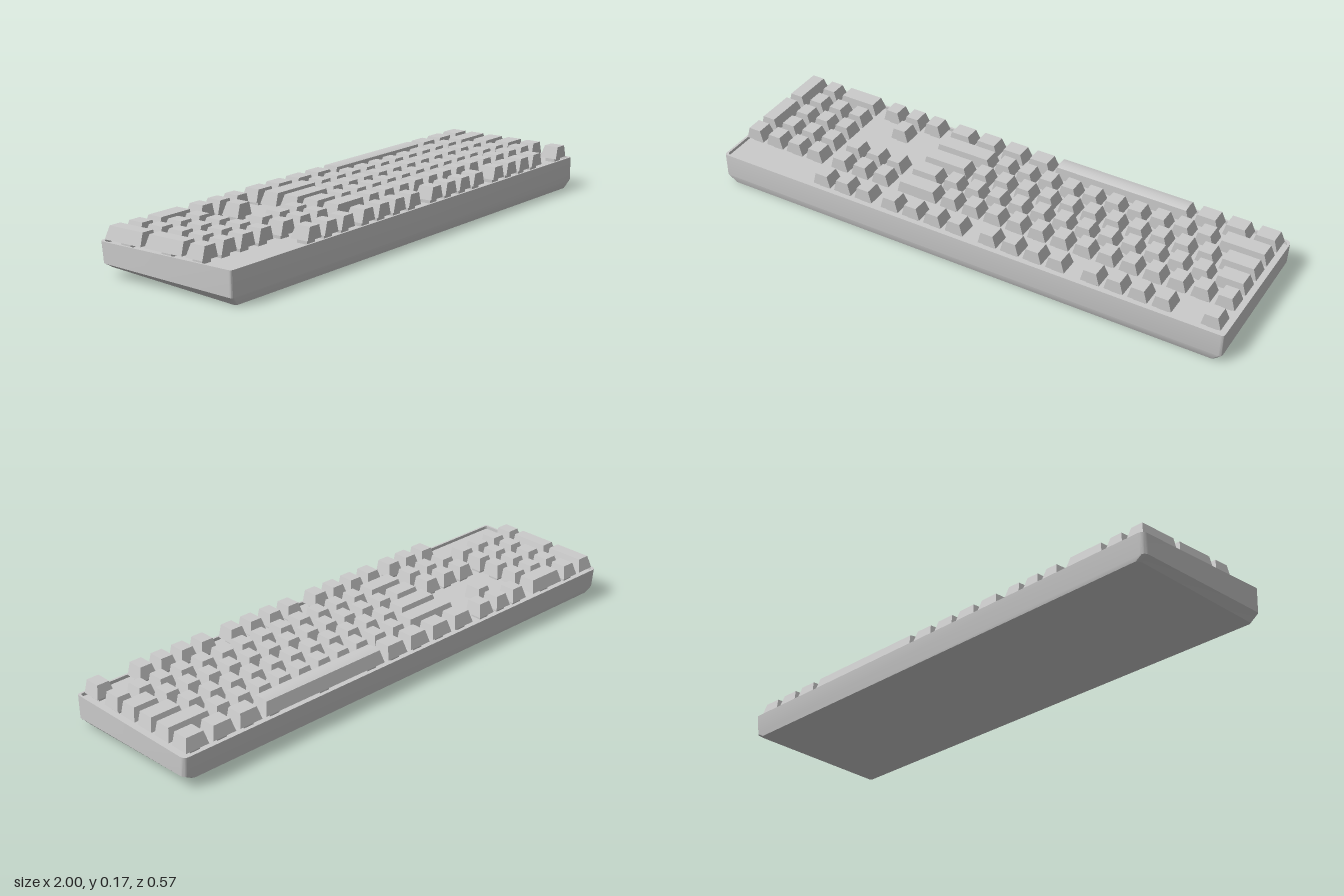
import * as THREE from 'three';
import { toCreasedNormals } from 'three/addons/utils/BufferGeometryUtils.js';

const U = 0.0882;        // key pitch
const GAP = 0.017;       // space between keycaps
const X0 = 0.988;        // x of the edge where every row starts (rows run towards -x)
const PLATE_Y = 0.107, CAP_Y = 0.123, CAP_TOP = 0.169;
const material = new THREE.MeshStandardMaterial({ color: 0xcccccc });
const flatMaterial = new THREE.MeshStandardMaterial({ color: 0xcccccc, flatShading: true });

// Rounded rectangle ring; height runs linearly from yFront (+z) to yBack (-z)
function ring(hx, zFront, zBack, yFront, yBack) {
  const points = [];
  const corners = [[1, zFront, 0.01], [-1, zFront, 0.01], [-1, zBack, 0.02], [1, zBack, 0.02]];
  corners.forEach(([sx, z, r], c) => {
    for (let i = 0; i <= 4; i++) {
      const a = (c + i / 4) * Math.PI / 2;
      const px = sx * (hx - r) + r * Math.cos(a);
      const pz = z - Math.sign(z) * r + r * Math.sin(a);
      const t = (zFront - pz) / (zFront - zBack);
      points.push([px, yFront + (yBack - yFront) * t, pz]);
    }
  });
  return points;
}

// Closed skin through a stack of rings, with a cap at each end
function loft(rings) {
  const out = [];
  const n = rings[0].length;
  const center = r => [0, 1, 2].map(k => r.reduce((s, p) => s + p[k], 0) / n);
  const first = rings[0], last = rings[rings.length - 1];
  const c0 = center(first), c1 = center(last);
  for (let i = 0; i < n; i++) {
    const j = (i + 1) % n;
    for (let k = 0; k < rings.length - 1; k++) {
      const lo = rings[k], up = rings[k + 1];
      out.push(...lo[i], ...up[i], ...lo[j], ...lo[j], ...up[i], ...up[j]);
    }
    out.push(...c0, ...first[i], ...first[j], ...c1, ...last[j], ...last[i]);
  }
  const g = new THREE.BufferGeometry();
  g.setAttribute('position', new THREE.Float32BufferAttribute(out, 3));
  return toCreasedNormals(g, 0.45);
}

// Keycap: a box whose top is drawn in at the sides and at -z; optional crowned top
function capGeometry(w, d, crown) {
  const h = CAP_TOP - CAP_Y;
  const g = new THREE.BoxGeometry(w, h, d, 1, 1, crown ? 8 : 1);
  const p = g.attributes.position;
  for (let i = 0; i < p.count; i++) {
    if (p.getY(i) < 0) continue;
    const t = p.getZ(i) / d + 0.5;
    p.setX(i, p.getX(i) - Math.sign(p.getX(i)) * 0.012);
    p.setZ(i, p.getZ(i) + 0.013 * (1 - t));
    p.setY(i, h / 2 + crown * 4 * t * (1 - t));
  }
  return g;
}

const capCache = new Map();
const stemGeometry = new THREE.BoxGeometry(0.041, CAP_Y - PLATE_Y + 0.004, 0.041);

// One key at k units along a row, w units wide and d units deep, zTop its +z edge
function makeKey(name, k, zTop, w = 1, d = 1) {
  const key = new THREE.Group();
  key.name = name;
  const id = `${w},${d}`;
  if (!capCache.has(id)) capCache.set(id, capGeometry(w * U - GAP, d * U - GAP, w > 6 ? 0.004 : 0));
  const cap = new THREE.Mesh(capCache.get(id), flatMaterial);
  cap.name = 'keycap';
  cap.position.y = (CAP_Y + CAP_TOP) / 2;
  key.add(cap);
  for (const offset of w > 6 ? [-0.22, 0, 0.22] : [0]) {
    const stem = new THREE.Mesh(stemGeometry, flatMaterial);
    stem.name = 'switchStem';
    stem.position.set(offset, (CAP_Y + PLATE_Y) / 2, 0);
    key.add(stem);
  }
  key.position.set(X0 - (k + w / 2) * U, 0, zTop - (d * U - GAP) / 2);
  return key;
}

export function createModel() {
  const model = new THREE.Group();
  model.name = 'keyboard';

  // Wedge-shaped case with chamfered lower edge, thin rim and recessed plate
  const body = new THREE.Mesh(loft([
    ring(0.97, 0.275, -0.274, 0, 0.03),
    ring(0.998, 0.284, -0.2755, 0.03, 0.046),
    ring(1.0, 0.284, -0.282, 0.119, 0.119),
    ring(0.992, 0.276, -0.274, 0.119, 0.119),
    ring(0.992, 0.276, -0.274, PLATE_Y, PLATE_Y),
  ]), material);
  body.name = 'case';
  model.add(body);

  // Main block: key widths of each row, listed from +x to -x
  const ones = n => Array(n).fill(1);
  const rowZ = i => 0.157 - i * U;
  const rows = [
    [...ones(13), 2],
    [1.5, ...ones(12), 1.5],
    [1.75, ...ones(11), 2.25],
    [2.25, ...ones(10), 2.75],
    [1.25, 1.25, 1.25, 6.25, 1.25, 1.25, 1.25, 1.25],
  ];
  rows.forEach((widths, i) => {
    let k = 0;
    for (const w of widths) {
      model.add(makeKey(w > 6 ? 'spaceBar' : 'mainKey', k, rowZ(i), w));
      k += w;
    }
  });

  // Separate upper row: one single key, then three groups of four
  const upperZ = rowZ(-1.25);
  model.add(makeKey('escapeKey', 0, upperZ));
  for (const start of [2, 6.5, 11])
    for (let i = 0; i < 4; i++) model.add(makeKey('upperRowKey', start + i, upperZ));

  // Navigation cluster and arrows
  const nav = 15.25;
  for (let i = 0; i < 3; i++) {
    model.add(makeKey('systemKey', nav + i, upperZ));
    for (const r of [0, 1]) model.add(makeKey('navigationKey', nav + i, rowZ(r)));
    model.add(makeKey('arrowKey', nav + i, rowZ(4)));
  }
  model.add(makeKey('arrowKey', nav + 1, rowZ(3)));

  // Number pad with two tall keys and one wide key
  const pad = 18.5;
  for (let r = 0; r < 4; r++)
    for (let i = 0; i < 3; i++) model.add(makeKey('padKey', pad + i, rowZ(r)));
  model.add(makeKey('padKey', pad + 3, rowZ(0)));
  model.add(makeKey('padTallKey', pad + 3, rowZ(1), 1, 2));
  model.add(makeKey('padTallKey', pad + 3, rowZ(3), 1, 2));
  model.add(makeKey('padWideKey', pad, rowZ(4), 2));
  model.add(makeKey('padKey', pad + 2, rowZ(4)));

  return model;
}
